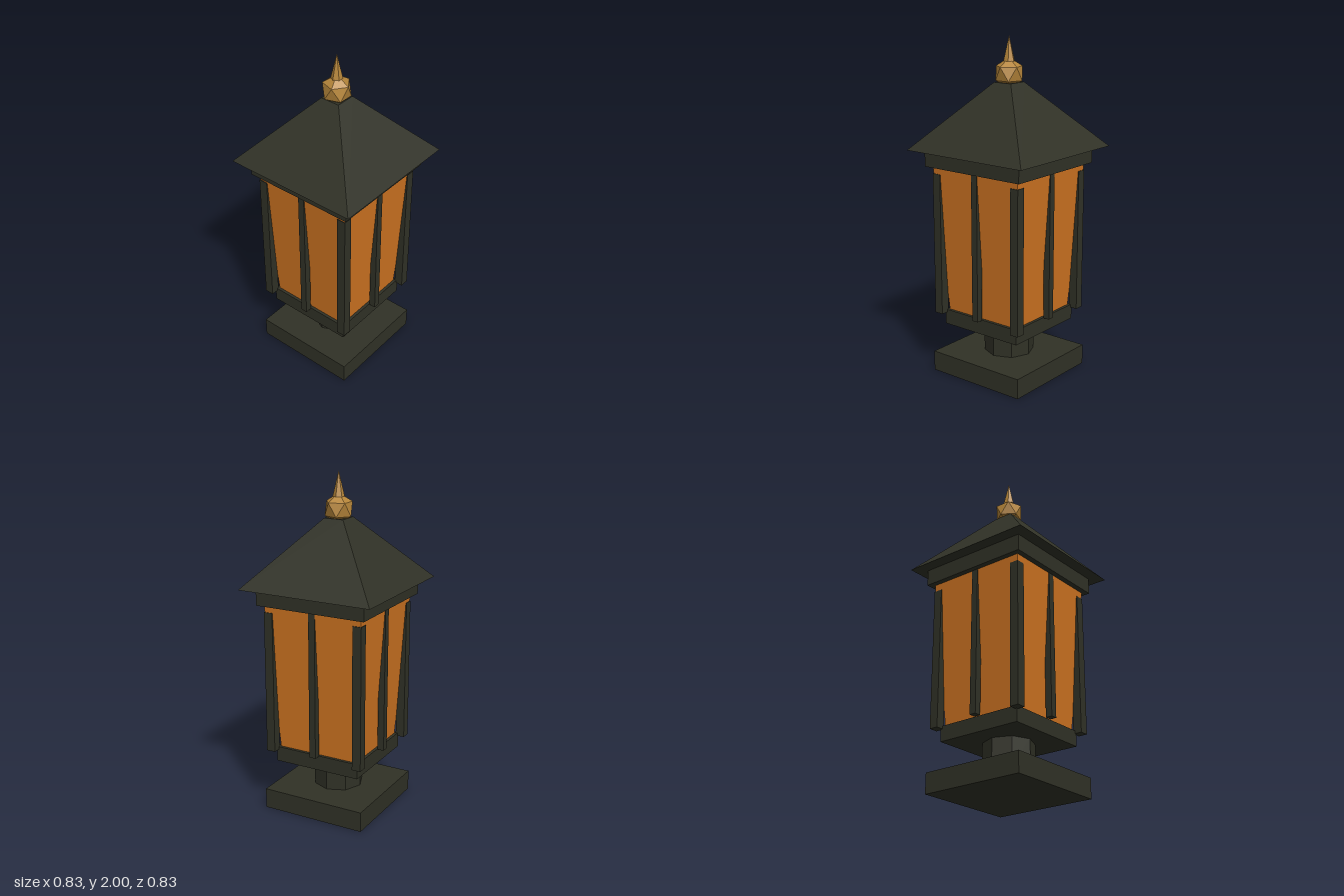
import * as THREE from 'three';

const iron = new THREE.MeshStandardMaterial({ color: 0x303126, flatShading: true });
iron.name = 'darkIron';
const glass = new THREE.MeshStandardMaterial({ color: 0xd07522, flatShading: true });
glass.name = 'amberGlass';
const brass = new THREE.MeshStandardMaterial({ color: 0xb5853a, flatShading: true });
brass.name = 'brass';

export function createModel() {
  const lantern = new THREE.Group();
  lantern.name = 'lantern';

  function add(name, geometry, material, x, y, z) {
    const mesh = new THREE.Mesh(geometry, material);
    mesh.name = name;
    mesh.position.set(x, y, z);
    lantern.add(mesh);
    return mesh;
  }
  // Square slab from y0 to y1
  const slab = (name, half, y0, y1) =>
    add(name, new THREE.BoxGeometry(2 * half, y1 - y0, 2 * half), iron, 0, (y0 + y1) / 2, 0);
  // Square frustum with its sides facing the axes
  function frustum(name, bottomHalf, topHalf, y0, y1, material) {
    const g = new THREE.CylinderGeometry(topHalf * Math.SQRT2, bottomHalf * Math.SQRT2, y1 - y0, 4);
    g.rotateY(Math.PI / 4);
    return add(name, g, material, 0, (y0 + y1) / 2, 0);
  }

  // Foot, octagonal stem and tray
  slab('base', 0.32, 0, 0.12);
  add('stem', new THREE.CylinderGeometry(0.148, 0.148, 0.2, 8), iron, 0, 0.21, 0);
  slab('tray', 0.268, 0.297, 0.387);

  // Glass body widening upward
  frustum('glassBody', 0.25, 0.31, 0.38, 1.265, glass);

  // Corner posts
  for (const sx of [-1, 1]) {
    for (const sz of [-1, 1]) {
      add('cornerPost', new THREE.BoxGeometry(0.054, 0.848, 0.054), iron, sx * 0.284, 0.794, sz * 0.284);
    }
  }

  // Upright bar in the middle of each side
  for (let i = 0; i < 4; i++) {
    const a = (i * Math.PI) / 2;
    const bar = add('glazingBar', new THREE.BoxGeometry(0.04, 0.878, 0.04), iron,
      Math.sin(a) * 0.292, 0.826, Math.cos(a) * 0.292);
    bar.rotation.y = a;
  }

  // Eave band and pyramid roof with a small flat top
  slab('eaveBand', 0.342, 1.26, 1.36);
  frustum('roof', 0.413, 0.06, 1.357, 1.737, iron);

  // Finial: faceted ball standing on a vertex, with a six-sided spike
  const ball = new THREE.IcosahedronGeometry(0.088, 0);
  ball.rotateZ(-Math.atan(2 / (1 + Math.sqrt(5))));
  add('finialBall', ball, brass, 0, 1.787, 0);
  add('finialSpike', new THREE.ConeGeometry(0.034, 0.145, 6), brass, 0, 1.9275, 0);

  return lantern;
}
